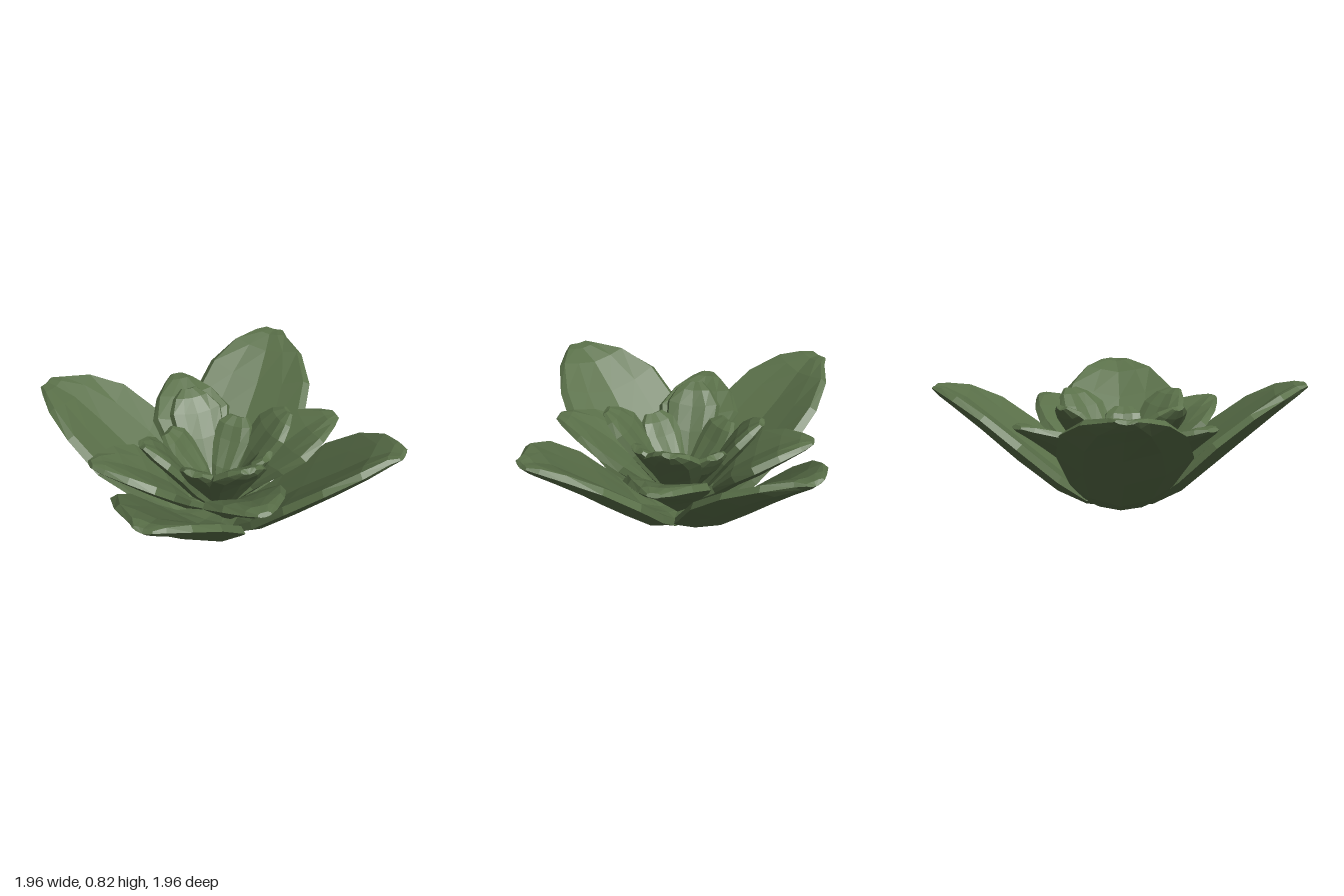
import * as THREE from 'three';

const leafGreen = new THREE.MeshStandardMaterial({ color: 0x5a7049, flatShading: true });
leafGreen.name = 'leafGreen';

// Each row is one cross-section of a leaf that grows along +z:
// [z, underside y, right edge x, left edge x, rise of the edges, thickness]
const OUTER = [
  [0.0, 0.0, 0.12, -0.12, 0.01, 0.06],
  [0.22, 0.025, 0.24, -0.22, 0.04, 0.09],
  [0.4, 0.1, 0.35, -0.3, 0.11, 0.1],
  [0.64, 0.3, 0.48, -0.36, 0.15, 0.1],
  [0.87, 0.5, 0.44, -0.31, 0.13, 0.09],
  [1.06, 0.66, 0.34, -0.17, 0.07, 0.09],
  [1.17, 0.745, 0.23, -0.01, 0.03, 0.07],
  [1.215, 0.79, 0.17, 0.04, 0.01, 0.03],
];
const MIDDLE = [
  [0.06, 0.09, 0.06, -0.05, 0.0, 0.06],
  [0.24, 0.15, 0.1, -0.08, 0.05, 0.08],
  [0.4, 0.3, 0.24, -0.22, 0.08, 0.1],
  [0.53, 0.4, 0.275, -0.28, 0.09, 0.1],
  [0.68, 0.51, 0.2, -0.21, 0.05, 0.09],
  [0.8, 0.59, 0.1, -0.11, 0.01, 0.07],
  [0.85, 0.63, 0.04, -0.05, 0.0, 0.03],
];
const INNER = [
  [0.04, 0.1, 0.05, -0.05, 0.0, 0.05],
  [0.2, 0.25, 0.11, -0.1, 0.03, 0.08],
  [0.32, 0.42, 0.18, -0.16, 0.05, 0.09],
  [0.42, 0.56, 0.19, -0.17, 0.04, 0.09],
  [0.49, 0.65, 0.14, -0.1, 0.02, 0.08],
  [0.525, 0.71, 0.07, -0.03, 0.01, 0.04],
];
const HEART = [
  [0.03, 0.12, 0.04, -0.04, 0.0, 0.05],
  [0.16, 0.28, 0.1, -0.1, 0.03, 0.08],
  [0.28, 0.43, 0.145, -0.14, 0.03, 0.08],
  [0.34, 0.52, 0.13, -0.12, 0.02, 0.08],
  [0.375, 0.58, 0.07, -0.06, 0.01, 0.045],
];

// Loop points around a section: [share of half width, share of rise, share of thickness]
const RIM = [
  [0, 0, 0], [0.6, 0.4, 0.08], [1, 1, 0.3], [0.9, 0.95, 0.75], [0.5, 0.4, 1],
  [0, 0.1, 1], [-0.5, 0.4, 1], [-0.9, 0.95, 0.75], [-1, 1, 0.3], [-0.6, 0.4, 0.08],
];

// Skin the cross-sections and close both ends
function leafGeometry(rows) {
  const positions = [], index = [], n = RIM.length, last = rows.length - 1;
  rows.forEach(([z, y, right, left, rise, thick], i) => {
    const a = rows[Math.max(i - 1, 0)], b = rows[Math.min(i + 1, last)];
    const slope = Math.atan2(b[1] - a[1], b[0] - a[0]);
    const mid = (right + left) / 2, half = (right - left) / 2;
    for (const [w, r, t] of RIM) {
      positions.push(
        mid + w * half,
        y + r * rise + t * thick * Math.cos(slope),
        z - t * thick * Math.sin(slope));
    }
  });
  for (let i = 0; i < last; i++) {
    for (let j = 0; j < n; j++) {
      const k = (j + 1) % n, p = i * n, q = p + n;
      index.push(p + j, p + k, q + k, p + j, q + k, q + j);
    }
  }
  for (let j = 1; j < n - 1; j++) {
    index.push(0, j + 1, j);
    index.push(last * n, last * n + j, last * n + j + 1);
  }
  const geometry = new THREE.BufferGeometry();
  geometry.setAttribute('position', new THREE.Float32BufferAttribute(positions, 3));
  geometry.setIndex(index);
  const flat = geometry.toNonIndexed();
  flat.computeVertexNormals();
  return flat;
}

// Four copies of a leaf, a quarter turn apart
function whorl(name, rows, startAngle) {
  const group = new THREE.Group();
  group.name = name + 's';
  const geometry = leafGeometry(rows);
  for (let i = 0; i < 4; i++) {
    const leaf = new THREE.Mesh(geometry, leafGreen);
    leaf.name = name;
    leaf.rotation.y = startAngle + i * Math.PI / 2;
    group.add(leaf);
  }
  return group;
}

export function createModel() {
  const plant = new THREE.Group();
  plant.name = 'succulent';
  plant.add(
    whorl('outerLeaf', OUTER, Math.PI / 4),
    whorl('middleLeaf', MIDDLE, 0),
    whorl('innerLeaf', INNER, 0),
    whorl('heartLeaf', HEART, Math.PI / 4));
  return plant;
}
